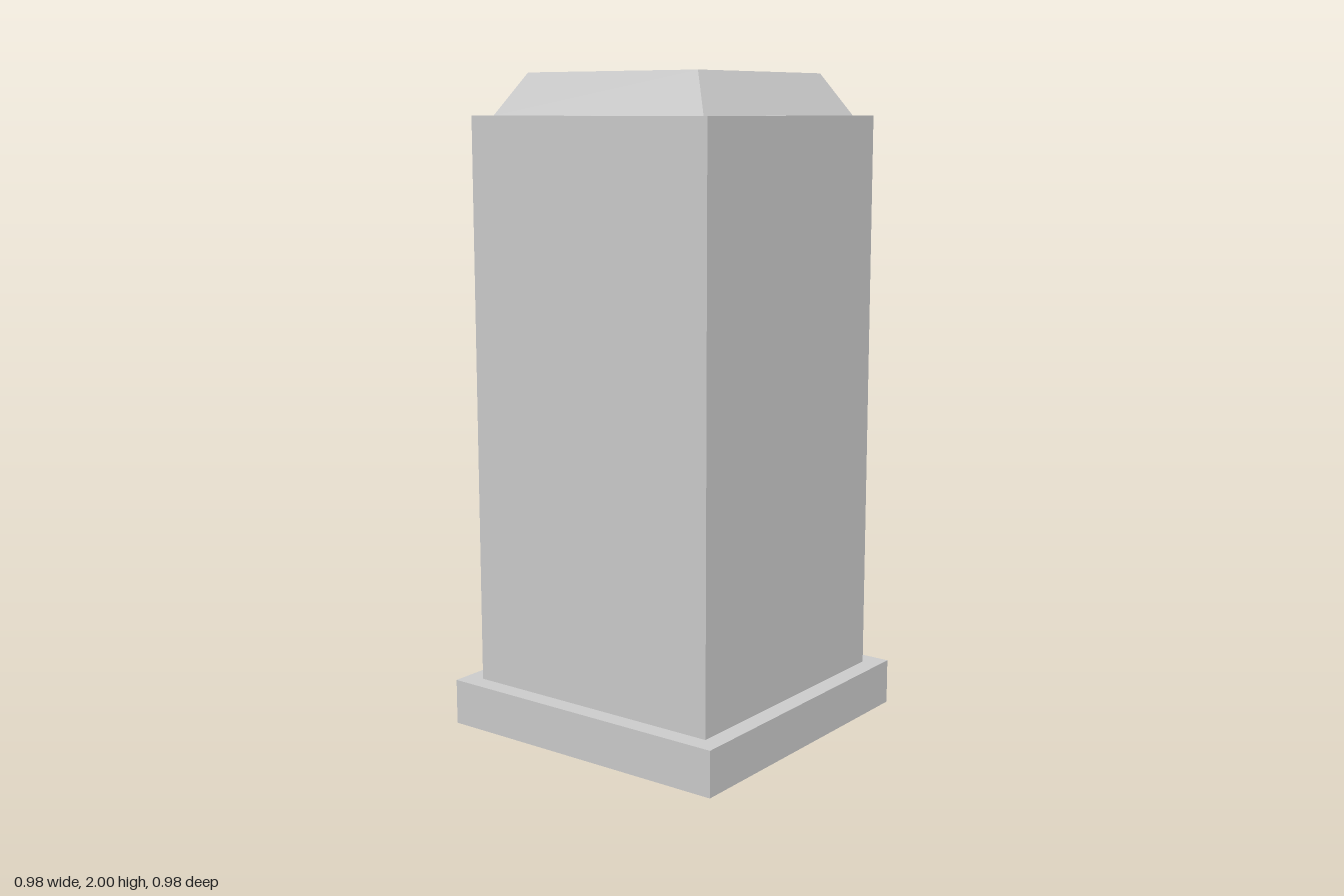
import * as THREE from 'three';

const material = new THREE.MeshStandardMaterial({
  color: 0xcccccc, flatShading: true, side: THREE.DoubleSide,
});

// Square block from y0 to y1 with no underside; the top may be narrower than the foot.
function openBlock(name, y0, y1, footHalf, topHalf = footHalf) {
  const geo = new THREE.BoxGeometry(2, y1 - y0, 2);
  geo.translate(0, (y0 + y1) / 2, 0);
  const pos = geo.attributes.position;
  const middle = (y0 + y1) / 2;
  for (let i = 0; i < pos.count; i++) {
    const half = pos.getY(i) > middle ? topHalf : footHalf;
    pos.setX(i, pos.getX(i) * half);
    pos.setZ(i, pos.getZ(i) * half);
  }
  // The fourth box side is the underside: drop its two triangles
  const index = Array.from(geo.index.array);
  index.splice(18, 6);
  geo.setIndex(index);
  geo.clearGroups();
  geo.computeVertexNormals();
  const mesh = new THREE.Mesh(geo, material);
  mesh.name = name;
  return mesh;
}

export function createModel() {
  const model = new THREE.Group();
  model.name = 'pillar';
  model.add(
    openBlock('plinth', 0, 0.14, 0.488), // hollow from below
    openBlock('shaft', 0.14, 1.875, 0.43),
    openBlock('bevelledCap', 1.875, 2, 0.384, 0.311),
  );
  return model;
}
